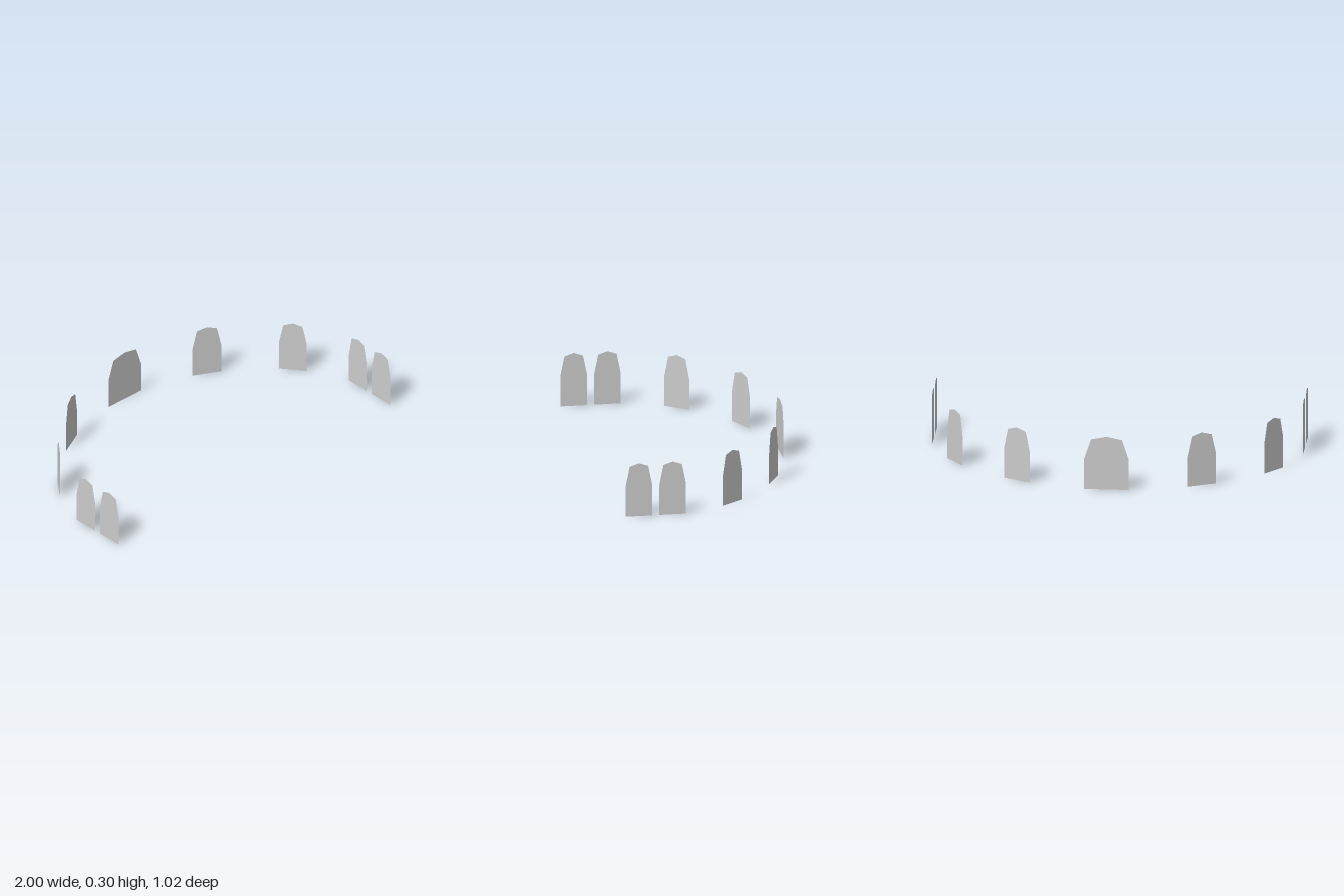
import * as THREE from 'three';

// Thin arched panes standing in a horseshoe, open towards the front
export function createModel() {
  const group = new THREE.Group();
  const material = new THREE.MeshStandardMaterial({ color: 0xcccccc, side: THREE.DoubleSide, flatShading: true });

  // Unit-wide pane: straight sides, tapered shoulders, low peak
  const outline = [[-0.5, 0], [0.5, 0], [0.5, 0.17], [0.347, 0.28], [0, 0.297], [-0.347, 0.28], [-0.5, 0.17]];
  const pane = new THREE.ShapeGeometry(new THREE.Shape(outline.map(([x, y]) => new THREE.Vector2(x, y))));

  // Each pane spans two floor points (x, z), facing the middle
  const addPane = (name, x0, z0, x1, z1) => {
    const mesh = new THREE.Mesh(pane, material);
    mesh.name = name;
    mesh.position.set((x0 + x1) / 2, 0, (z0 + z1) / 2);
    mesh.rotation.y = Math.atan2(z0 - z1, x1 - x0);
    mesh.scale.x = Math.hypot(x1 - x0, z1 - z0);
    group.add(mesh);
  };

  // Straight side panes
  for (const [z0, z1, place] of [[0.51, 0.364, 'Front'], [0.326, 0.181, 'Rear']]) {
    addPane(`rightSide${place}Window`, -1, z0, -1, z1);
    addPane(`leftSide${place}Window`, 1, z1, 1, z0);
  }

  // Panes around the curved end
  addPane('rightOuterWindow', -0.914, -0.041, -0.823, -0.16);
  addPane('rightInnerWindow', -0.58, -0.352, -0.433, -0.425);
  addPane('backWindow', -0.122, -0.51, 0.118, -0.51);
  addPane('leftInnerWindow', 0.418, -0.425, 0.562, -0.352);
  addPane('leftOuterWindow', 0.806, -0.16, 0.898, -0.041);

  return group;
}
